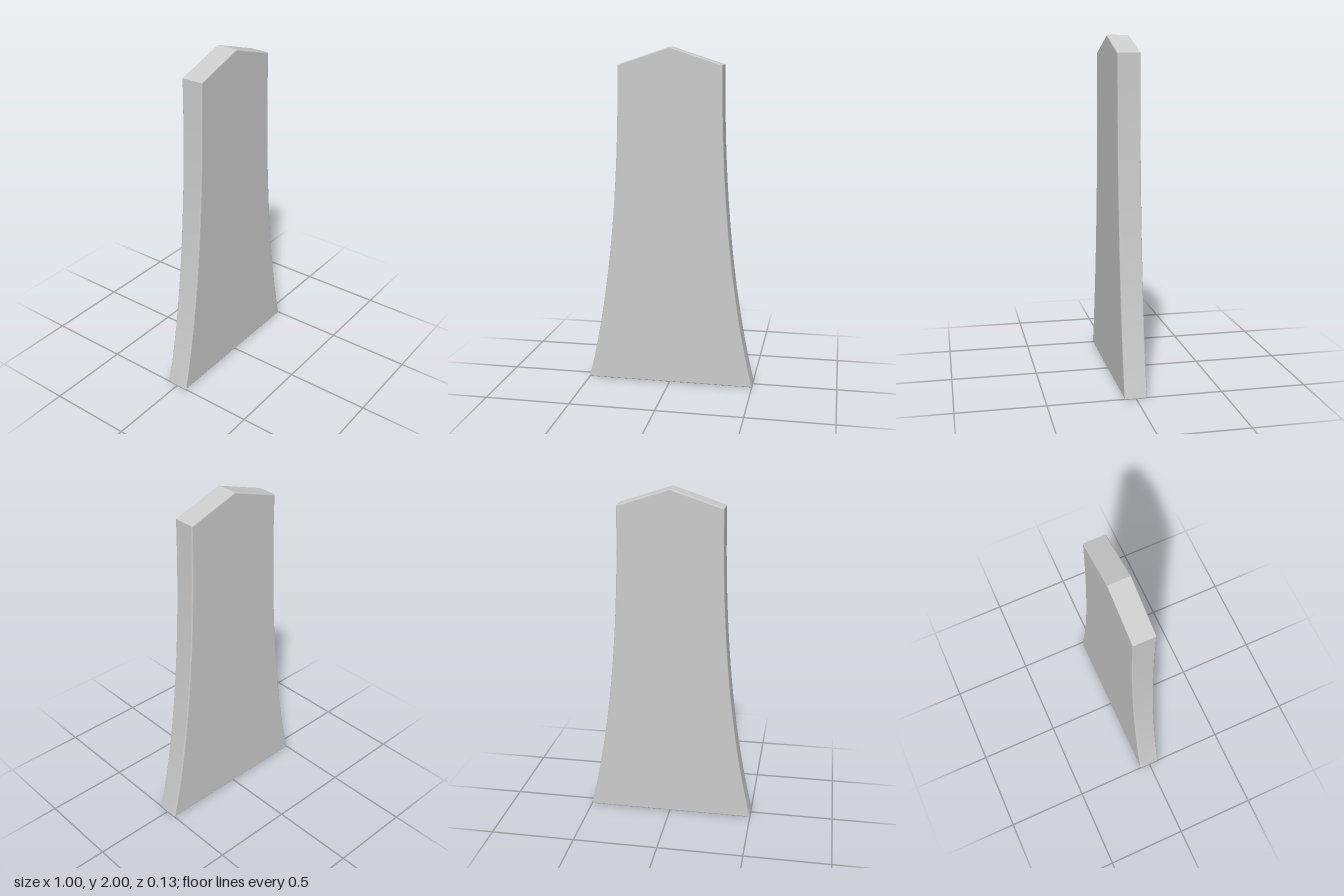
import * as THREE from 'three';
import { toCreasedNormals } from 'three/addons/utils/BufferGeometryUtils.js';

export function createModel() {
  const group = new THREE.Group();
  group.name = 'flaredPanel';

  const halfBase = 0.5, halfTop = 0.305, shoulder = 1.9, peak = 2;
  const thickness = 0.13, bevel = 0.007;

  // Outline: wide foot, concave sides, pointed top
  const outline = new THREE.Shape();
  outline.moveTo(-halfBase, 0);
  outline.lineTo(halfBase, 0);
  outline.quadraticCurveTo(halfTop, 0.8, halfTop, shoulder);
  outline.lineTo(0, peak);
  outline.lineTo(-halfTop, shoulder);
  outline.quadraticCurveTo(-halfTop, 0.8, -halfBase, 0);

  // Slab with finely rounded rims, kept inside the outline
  const slab = new THREE.ExtrudeGeometry(outline, {
    depth: thickness - 2 * bevel,
    curveSegments: 24,
    bevelEnabled: true,
    bevelThickness: bevel,
    bevelSize: bevel,
    bevelOffset: -bevel,
    bevelSegments: 3,
  });
  slab.translate(0, 0, -(thickness - 2 * bevel) / 2);

  const panel = new THREE.Mesh(
    toCreasedNormals(slab, 0.25),
    new THREE.MeshStandardMaterial({ color: 0xcccccc })
  );
  panel.name = 'panel';
  group.add(panel);
  return group;
}
